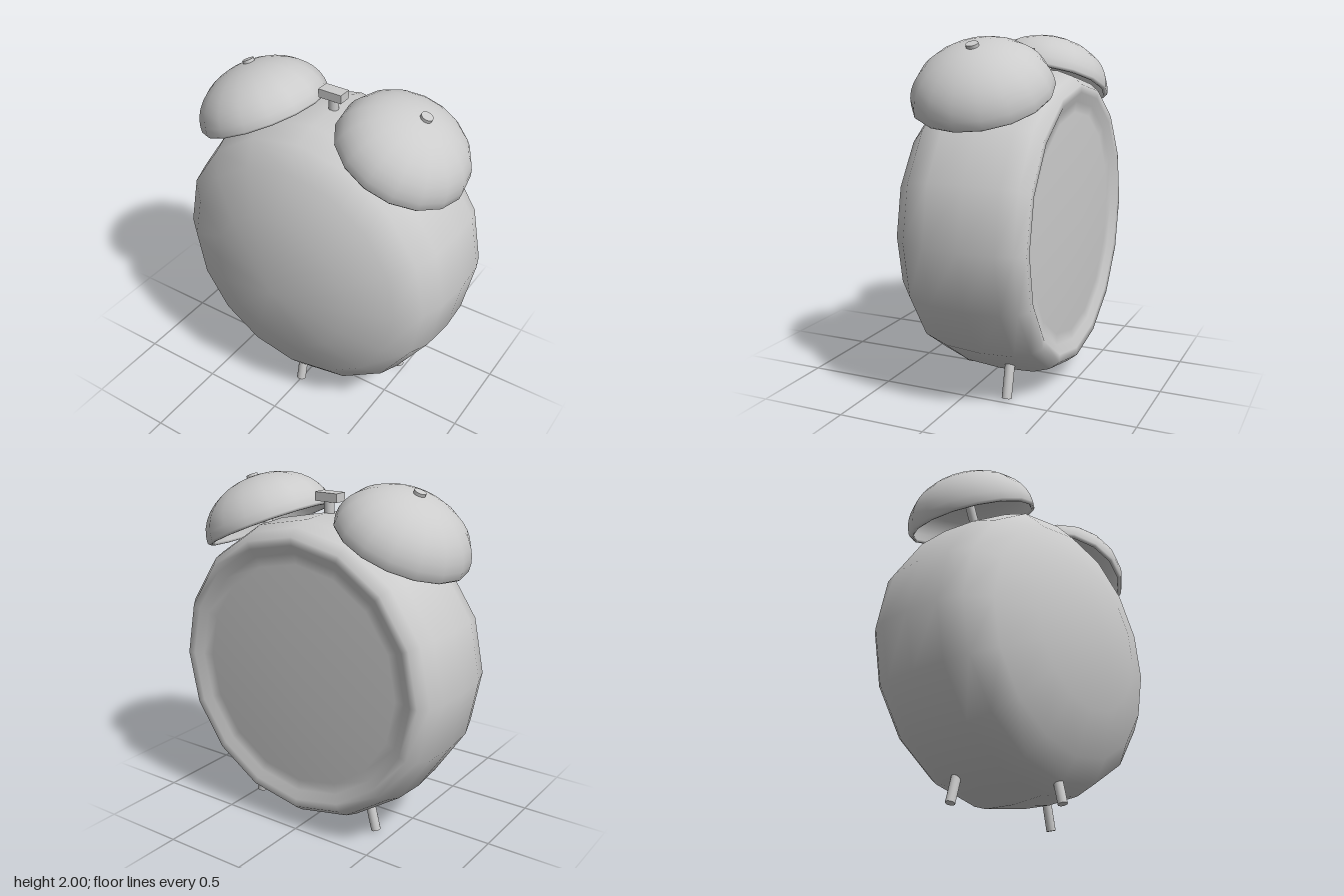
import * as THREE from 'three';

const material = new THREE.MeshStandardMaterial({ color: 0xcccccc });
const v3 = (x, y, z) => new THREE.Vector3(x, y, z);
const UP = v3(0, 1, 0);

function add(parent, name, geometry) {
  const mesh = new THREE.Mesh(geometry, material);
  mesh.name = name;
  parent.add(mesh);
  return mesh;
}

// Round bar between two points
function rod(parent, name, from, to, radius) {
  const dir = to.clone().sub(from);
  const mesh = add(parent, name, new THREE.CylinderGeometry(radius, radius, dir.length(), 16));
  mesh.position.copy(from).add(to).multiplyScalar(0.5);
  mesh.quaternion.setFromUnitVectors(UP, dir.normalize());
  return mesh;
}

// Turned shape whose poles are shaded smoothly
function smoothLathe(points) {
  const geometry = new THREE.LatheGeometry(points, 16);
  const { position, normal } = geometry.attributes;
  for (let i = 0; i < position.count; i++) {
    if (Math.hypot(position.getX(i), position.getZ(i)) < 1e-4) {
      normal.setXYZ(i, 0, Math.sign(normal.getY(i)), 0);
    }
  }
  return geometry;
}

// Hollow dome with a bevelled lip: inner shell from apex to rim, then outer shell back up
function bellGeometry(radius, height) {
  const points = [];
  const steps = 10;
  for (let i = 0; i <= steps; i++) {
    const a = (i / steps) * Math.PI / 2;
    points.push(new THREE.Vector2((radius - 0.025) * Math.sin(a), (height - 0.025) * Math.cos(a)));
  }
  points.push(new THREE.Vector2(radius - 0.022, -0.013), new THREE.Vector2(radius - 0.01, -0.013));
  for (let i = steps; i >= 0; i--) {
    const a = (i / steps) * Math.PI / 2;
    points.push(new THREE.Vector2(i ? radius * Math.sin(a) : 0, height * Math.cos(a)));
  }
  return smoothLathe(points);
}

export function createModel() {
  const model = new THREE.Group();
  model.name = 'alarmClock';

  // Body: [radius, z] from the recessed back, over the rim, to the domed front
  const profile = [
    [0, -0.5], [0.64, -0.455], [0.7, -0.465], [0.75, -0.491], [0.795, -0.494],
    [0.838, -0.44], [0.867, -0.35], [0.877, -0.15], [0.86, 0.06],
    [0.812, 0.2], [0.69, 0.307], [0.44, 0.408], [0, 0.5],
  ].map(([r, z]) => new THREE.Vector2(r, z));
  const body = add(model, 'body', smoothLathe(profile).rotateX(Math.PI / 2));
  body.position.y = 0.94;

  // Bells, each with its post and end button, leaning outwards
  const bellShape = bellGeometry(0.388, 0.285);
  for (const [name, x, y, side] of [['leftBell', 0.46, 1.7, 1], ['rightBell', -0.446, 1.694, -1]]) {
    const bell = new THREE.Group();
    bell.name = name;
    bell.position.set(x, y, -0.103);
    bell.rotation.z = -side * 0.41;
    add(bell, 'dome', bellShape);
    rod(bell, 'post', v3(0.014, -0.2, 0), v3(0.014, 0.28, 0), 0.028);
    rod(bell, 'button', v3(0.014, 0.26, 0), v3(0.014, 0.3, 0), 0.034);
    model.add(bell);
  }

  // Hammer between the bells
  rod(model, 'hammerStem', v3(0, 1.72, -0.145), v3(0, 1.89, -0.145), 0.029);
  const head = add(model, 'hammerHead', new THREE.BoxGeometry(0.146, 0.05, 0.08));
  head.position.set(-0.002, 1.903, -0.143);

  // Three splayed legs
  rod(model, 'frontLeg', v3(0, 0.008, 0.206), v3(0, 0.25, 0.151), 0.028);
  rod(model, 'leftLeg', v3(0.468, 0.015, -0.245), v3(0.405, 0.27, -0.245), 0.028);
  rod(model, 'rightLeg', v3(-0.397, 0.008, -0.245), v3(-0.335, 0.25, -0.245), 0.028);

  return model;
}
